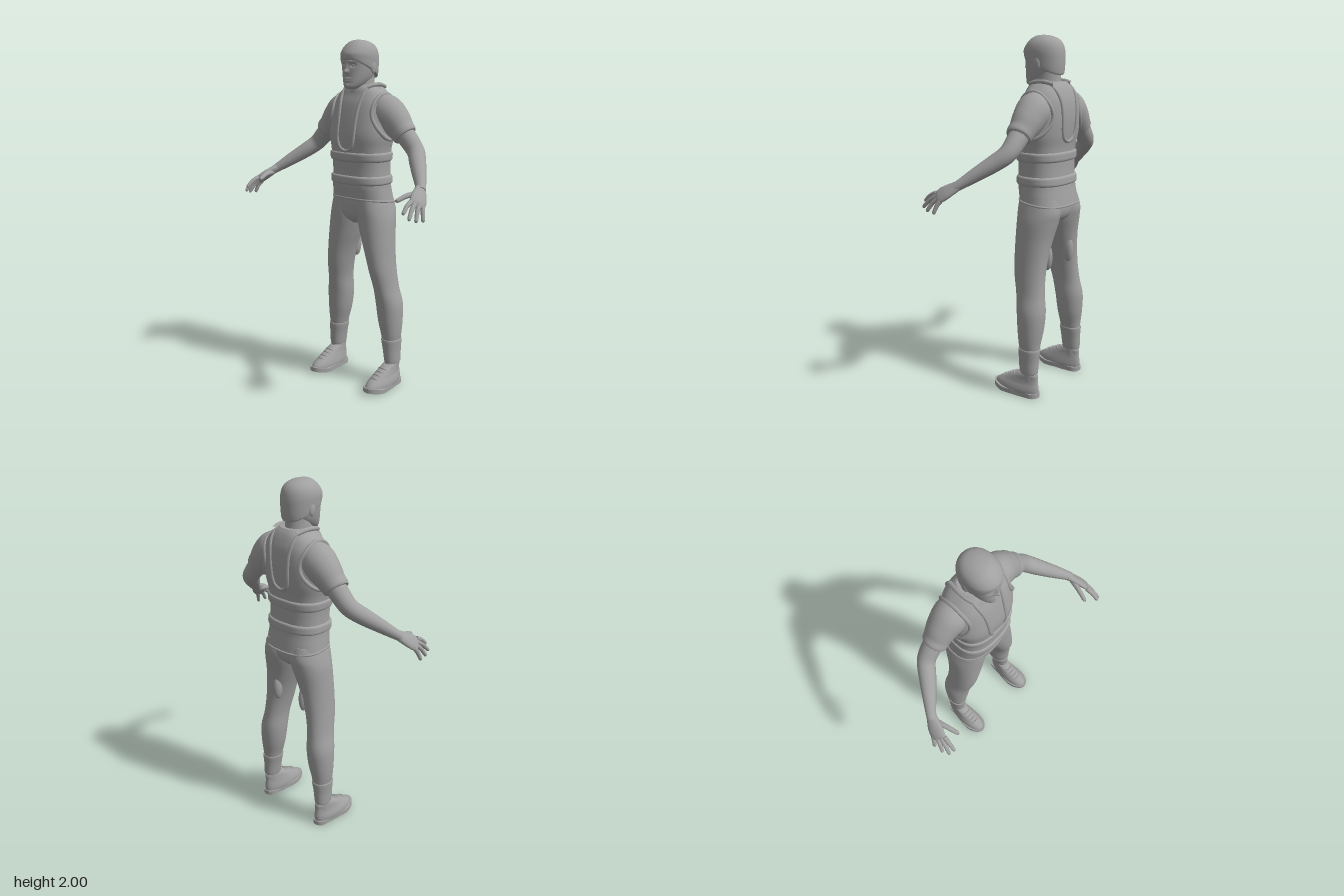
import * as THREE from 'three';

const grey = new THREE.MeshStandardMaterial({ color: 0xa0a0a0 });
grey.name = 'plain grey';
const V = (x, y, z) => new THREE.Vector3(x, y, z);
const spow = (v, e) => Math.sign(v) * Math.abs(v) ** e;

// Smoothly subdivide rows of numbers
function dense(rows, k = 6) {
  const out = [];
  for (let i = 0; i < rows.length - 1; i++) {
    const [a, b, c, d] = [-1, 0, 1, 2].map(o => rows[Math.min(rows.length - 1, Math.max(0, i + o))]);
    for (let s = 0; s < k; s++) {
      const t = s / k;
      out.push(b.map((v, n) => v + 0.5 * t * (c[n] - a[n] + t * (2 * a[n] - 5 * v + 4 * c[n] - d[n]
        + t * (3 * (v - c[n]) + d[n] - a[n])))));
    }
  }
  out.push(rows[rows.length - 1]);
  return out;
}

// Skin closed rings of points and cap both ends
function skin(rings) {
  const n = rings[0].length, pos = [], idx = [];
  rings.forEach(r => r.forEach(p => pos.push(p.x, p.y, p.z)));
  for (let i = 0; i < rings.length - 1; i++) for (let j = 0; j < n; j++) {
    const a = i * n + j, b = i * n + (j + 1) % n;
    idx.push(a, a + n, b, b, a + n, b + n);
  }
  [rings[0], rings[rings.length - 1]].forEach((r, e) => {
    const s = pos.length / 3, c = V(0, 0, 0);
    r.forEach(p => { pos.push(p.x, p.y, p.z); c.addScaledVector(p, 1 / n); });
    pos.push(c.x, c.y, c.z);
    for (let j = 0; j < n; j++) {
      const a = s + j, b = s + (j + 1) % n;
      e ? idx.push(a, s + n, b) : idx.push(a, b, s + n);
    }
  });
  const g = new THREE.BufferGeometry();
  g.setAttribute('position', new THREE.Float32BufferAttribute(pos, 3));
  g.setIndex(idx);
  g.computeVertexNormals();
  return g;
}

// Upright form; rows are [y, centre x, half width, front z, back z, tilt]
function body(rows, p = 2, n = 40, k = 6) {
  return skin(dense(rows, k).map(([y, cx, rx, zf, zb, tilt = 0]) => Array.from({ length: n }, (_, j) => {
    const t = j / n * Math.PI * 2, dz = (zf - zb) / 2 * spow(Math.sin(t), 2 / p);
    return V(cx + rx * spow(Math.cos(t), 2 / p), y + tilt * dz, (zf + zb) / 2 + dz);
  })));
}

// Form along a path; rows are [x, y, z, radius along hint, other radius]
function limb(rows, hint = V(0, 0, 1), n = 24) {
  const d = dense(rows), at = i => V(...d[Math.min(d.length - 1, Math.max(0, i))]);
  return skin(d.map((r, i) => {
    const t = at(i + 1).sub(at(i - 1)).normalize();
    const s = hint.clone().addScaledVector(t, -hint.dot(t)).normalize(), u = s.clone().cross(t);
    return Array.from({ length: n }, (_, j) => {
      const a = j / n * Math.PI * 2;
      return at(i).addScaledVector(s, r[3] * Math.cos(a)).addScaledVector(u, r[4] * Math.sin(a));
    });
  }));
}

const tube = (pts, r, closed = false) =>
  new THREE.TubeGeometry(new THREE.CatmullRomCurve3(pts, closed), pts.length * 4, r, 8, closed);
const ball = (rx, ry, rz, x, y, z) => new THREE.SphereGeometry(1, 20, 14).scale(rx, ry, rz).translate(x, y, z);

function flip(geo) {
  const g = geo.clone().scale(-1, 1, 1), ix = g.index.array;
  for (let i = 0; i < ix.length; i += 3) [ix[i], ix[i + 1]] = [ix[i + 1], ix[i]];
  g.computeVertexNormals();
  return g;
}

export function createModel() {
  const model = new THREE.Group();
  const add = (name, geo) => {
    const m = new THREE.Mesh(geo, grey);
    m.name = name;
    model.add(m);
  };
  const pair = (name, geo) => { add(name + 'Left', geo); add(name + 'Right', flip(geo)); };

  // Vest
  const P = 2.5;
  const vest = [[1.1, 0, .186, .012, -.257, .12], [1.15, 0, .18, .02, -.247, .05], [1.2, 0, .175, .026, -.238, 0],
    [1.3, 0, .172, .026, -.232, 0], [1.4, 0, .18, .033, -.235, 0], [1.48, 0, .195, .037, -.248, 0],
    [1.57, 0, .19, .022, -.255, 0], [1.65, 0, .178, .002, -.25, 0], [1.7, 0, .155, -.018, -.235, 0],
    [1.735, 0, .118, -.03, -.218, 0], [1.757, 0, .085, -.045, -.2, 0]];
  add('vest', body(vest, P, 56));
  const fine = dense(vest, 12);
  const at = y => fine.reduce((a, b) => Math.abs(b[0] - y) < Math.abs(a[0] - y) ? b : a);
  const surfaceZ = (x, y, front) => {
    const [, , rx, zf, zb] = at(y);
    return (zf + zb) / 2 + (front ? 1 : -1) * (zf - zb) / 2 * (1 - Math.min(1, Math.abs(x) / rx) ** P) ** (1 / P);
  };
  const surfaceX = (y, z) => {
    const [, , rx, zf, zb] = at(y);
    return rx * (1 - Math.min(.98, Math.abs((2 * z - zf - zb) / (zf - zb))) ** P) ** (1 / P);
  };

  // Padded belts
  [[1.2, 1.255], [1.33, 1.387]].forEach(([lo, hi], i) => add('belt' + (i + 1),
    body([0, .15, .5, .85, 1].map((t, j) => {
      const y = lo + (hi - lo) * t, [, , rx, zf, zb] = at(y), o = [-.004, .008, .01, .008, -.004][j];
      return [y, 0, rx + o, zf + o, zb - o];
    }), P, 56)));
  // Hem edge
  add('hemTrim', tube(Array.from({ length: 24 }, (_, j) => {
    const t = j / 24 * Math.PI * 2, dz = .134 * spow(Math.sin(t), 2 / P);
    return V(.186 * spow(Math.cos(t), 2 / P), 1.105 + .12 * dz, -.1225 + dz);
  }), .006, true));
  // U-shaped neck trims on chest and back
  [true, false].forEach(front => {
    const low = front ? 1.392 : 1.44;
    const half = [[.084, 1.748], [.078, 1.7], [.068, 1.64], [.062, 1.56], [.057, low + .06], [.042, low + .02]];
    const pts = [...half, [0, low], ...half.map(([x, y]) => [-x, y]).reverse()];
    add(front ? 'chestTrim' : 'backTrim', tube(pts.map(([x, y]) => V(x, y, surfaceZ(x, y, front))), .01));
  });
  // Collar and shoulder edges
  pair('shoulderCollar', tube([V(.084, 1.745, -.05), V(.095, 1.755, -.09), V(.095, 1.757, -.15), V(.084, 1.745, -.205)], .012));
  pair('armholeTrim', tube(Array.from({ length: 20 }, (_, j) => {
    const t = j / 20 * Math.PI * 2, y = 1.583 + .125 * Math.sin(t), z = -.125 + .108 * Math.cos(t);
    return V(surfaceX(y, z) + .003, y, z);
  }), .011, true));

  // Sleeves and arms
  pair('sleeve', limb([[.1, 1.64, -.13, .08, .08], [.16, 1.607, -.133, .095, .098], [.22, 1.56, -.135, .085, .089],
    [.265, 1.515, -.133, .073, .074], [.29, 1.492, -.13, .069, .07], [.298, 1.484, -.13, .062, .062]]));
  pair('arm', limb([[.25, 1.53, -.132, .057, .057], [.32, 1.46, -.132, .053, .053], [.375, 1.403, -.12, .049, .048],
    [.425, 1.355, -.07, .046, .044], [.485, 1.302, -.005, .037, .037], [.54, 1.253, .055, .028, .027],
    [.556, 1.238, .077, .028, .024]]));
  // Hands
  const across = V(.4, -.4, -.82);
  pair('palm', limb([[.54, 1.253, .055, .025, .022], [.558, 1.233, .085, .036, .021], [.578, 1.21, .12, .046, .02],
    [.594, 1.187, .153, .046, .017], [.6, 1.178, .166, .036, .01]], across));
  [[[.578, 1.2, .185], [.588, 1.15, .264]], [[.59, 1.188, .172], [.616, 1.122, .252]],
    [[.602, 1.177, .155], [.63, 1.108, .212]], [[.608, 1.172, .13], [.636, 1.102, .16]],
    [[.553, 1.226, .09], [.514, 1.2, .226]]].forEach(([a, b], i) => {
    const mid = a.map((v, k) => (v + b[k]) / 2 + (k === 1 ? .008 : 0)), r = i === 4 ? .0135 : .0115;
    const end = b.map((v, k) => v + (a[k] - v) * .06);
    pair(['indexFinger', 'middleFinger', 'ringFinger', 'littleFinger', 'thumb'][i],
      limb([[...a, r * 1.2, r * 1.2], [...mid, r, r], [...end, r * .8, r * .8], [...b, .002, .002]], across, 12));
  });

  // Trousers
  add('hips', body([[.97, 0, .03, -.04, -.15], [1.0, 0, .1, -.01, -.21], [1.05, 0, .17, .005, -.24], [1.14, 0, .176, .005, -.24]], 2.3));
  const leg = (y, out, inn, zf, zb) => [y, (out + inn) / 2, (out - inn) / 2, zf, zb];
  pair('trouserLeg', body([leg(.27, .256, .162, -.08, -.198), leg(.32, .264, .15, -.073, -.203), leg(.4, .268, .13, -.063, -.215),
    leg(.5, .265, .118, -.053, -.221), leg(.6, .243, .114, -.036, -.208), leg(.7, .232, .095, -.014, -.202),
    leg(.8, .223, .068, -.004, -.206), leg(.9, .216, .033, 0, -.218), leg(1, .208, .002, .002, -.24),
    leg(1.06, .195, .002, .003, -.25), leg(1.13, .176, .002, 0, -.238)], 2.1));
  pair('thighPatch', ball(.024, .078, .032, .104, .805, -.183));
  pair('ankleCuff', body([leg(.145, .255, .18, -.09, -.19), leg(.15, .26, .177, -.083, -.196), leg(.22, .261, .167, -.077, -.199),
    leg(.28, .265, .155, -.072, -.204), leg(.287, .26, .16, -.078, -.198)], 2.1));
  pair('sock', body([leg(.09, .253, .178, -.07, -.19), leg(.16, .252, .182, -.09, -.19)]));

  // Shoes: soles follow the foot outline with a raised toe and arch
  const outline = new THREE.Shape();
  outline.moveTo(.215, -.1);
  outline.bezierCurveTo(.26, -.1, .282, -.04, .28, .01);
  outline.bezierCurveTo(.277, .07, .262, .1, .26, .15);
  outline.bezierCurveTo(.26, .222, .172, .222, .172, .15);
  outline.bezierCurveTo(.17, .1, .157, .07, .155, .01);
  outline.bezierCurveTo(.153, -.04, .175, -.1, .215, -.1);
  const sole = new THREE.ExtrudeGeometry(outline, { depth: .026, bevelEnabled: false, curveSegments: 14 })
    .rotateX(-Math.PI / 2);
  sole.setIndex([...Array(sole.attributes.position.count).keys()]);
  const sp = sole.attributes.position;
  for (let i = 0; i < sp.count; i++) {
    const z = sp.getZ(i), toe = Math.max(0, z - .02) * .2;
    sp.setY(i, sp.getY(i) + toe + (z > -.11 ? .005 : 0));
  }
  sole.computeVertexNormals();
  pair('sole', sole);
  const upper = body([leg(.02, .272, .162, .088, -.197), leg(.04, .274, .16, .091, -.2), leg(.06, .27, .163, .075, -.2),
    leg(.08, .263, .168, .042, -.198), leg(.105, .258, .174, -.005, -.196), leg(.125, .256, .177, -.05, -.197),
    leg(.137, .252, .18, -.075, -.194)], 2.2);
  const up = upper.attributes.position;
  for (let i = 0; i < up.count; i++) {
    const heel = Math.max(0, -.05 - up.getZ(i)) * .9;
    up.setX(i, .216 + (up.getX(i) - .216) * (1 - heel));
  }
  upper.computeVertexNormals();
  pair('shoe', upper);
  for (let i = 0; i < 4; i++) {
    const y = .082 + i * .013, z = .03 - i * .025;
    pair('lace' + (i + 1), tube([V(.186, y - .008, z - .012), V(.205, y + .003, z), V(.227, y + .003, z), V(.246, y - .008, z - .012)], .005));
  }

  // Neck and shirt collar
  add('neck', body([[1.66, 0, .08, -.03, -.2], [1.73, 0, .068, -.032, -.185], [1.78, 0, .064, -.035, -.18], [1.83, 0, .062, -.04, -.18]]));
  add('shirtCollar', body([[1.7, 0, .085, -.02, -.21], [1.735, 0, .077, -.024, -.195], [1.745, 0, .073, -.028, -.19], [1.747, 0, .066, -.034, -.184]]));

  // Head, with the face pressed out by soft bumps
  const head = body([[1.733, 0, .022, .012, -.04], [1.745, 0, .042, .022, -.075], [1.77, 0, .06, .023, -.12],
    [1.8, 0, .073, .022, -.16], [1.84, 0, .082, .022, -.18], [1.88, 0, .086, .026, -.19],
    [1.92, 0, .087, .024, -.192], [1.955, 0, .076, .003, -.178], [1.982, 0, .047, -.025, -.145], [1.99, 0, .01, -.06, -.1]], 2.2, 96, 10);
  const hp = head.attributes.position;
  const bumps = [[0, 1.828, .011, .011, .02], [0, 1.85, .007, .024, .012], [0, 1.79, .022, .005, .006], [0, 1.779, .019, .005, .006],
    [0, 1.752, .02, .011, .006], [.034, 1.862, .015, .01, -.011], [-.034, 1.862, .015, .01, -.011],
    [.034, 1.882, .022, .005, .006], [-.034, 1.882, .022, .005, .006]];
  for (let i = 0; i < hp.count; i++) {
    const x = hp.getX(i), y = hp.getY(i), z = hp.getZ(i);
    if (z > -.06) hp.setZ(i, z + bumps.reduce((s, [bx, by, sx, sy, h]) =>
      s + h * Math.exp(-(((x - bx) / sx) ** 2) - ((y - by) / sy) ** 2), 0));
  }
  head.computeVertexNormals();
  add('head', head);
  pair('eye', ball(.012, .006, .007, .034, 1.861, .008));
  pair('ear', ball(.009, .033, .02, .089, 1.85, -.098).rotateX(0));
  // Hair, lower at the nape than at the brow
  add('hair', body([[1.838, 0, .084, .02, -.19, .45], [1.846, 0, .091, .03, -.198, .42], [1.88, 0, .094, .034, -.203, .25],
    [1.92, 0, .095, .031, -.202, .08], [1.955, 0, .085, .013, -.19, .02], [1.98, 0, .064, -.01, -.165, 0],
    [1.995, 0, .036, -.035, -.125, 0], [2, 0, .006, -.065, -.09, 0]], 2.1, 56));
  return model;
}
